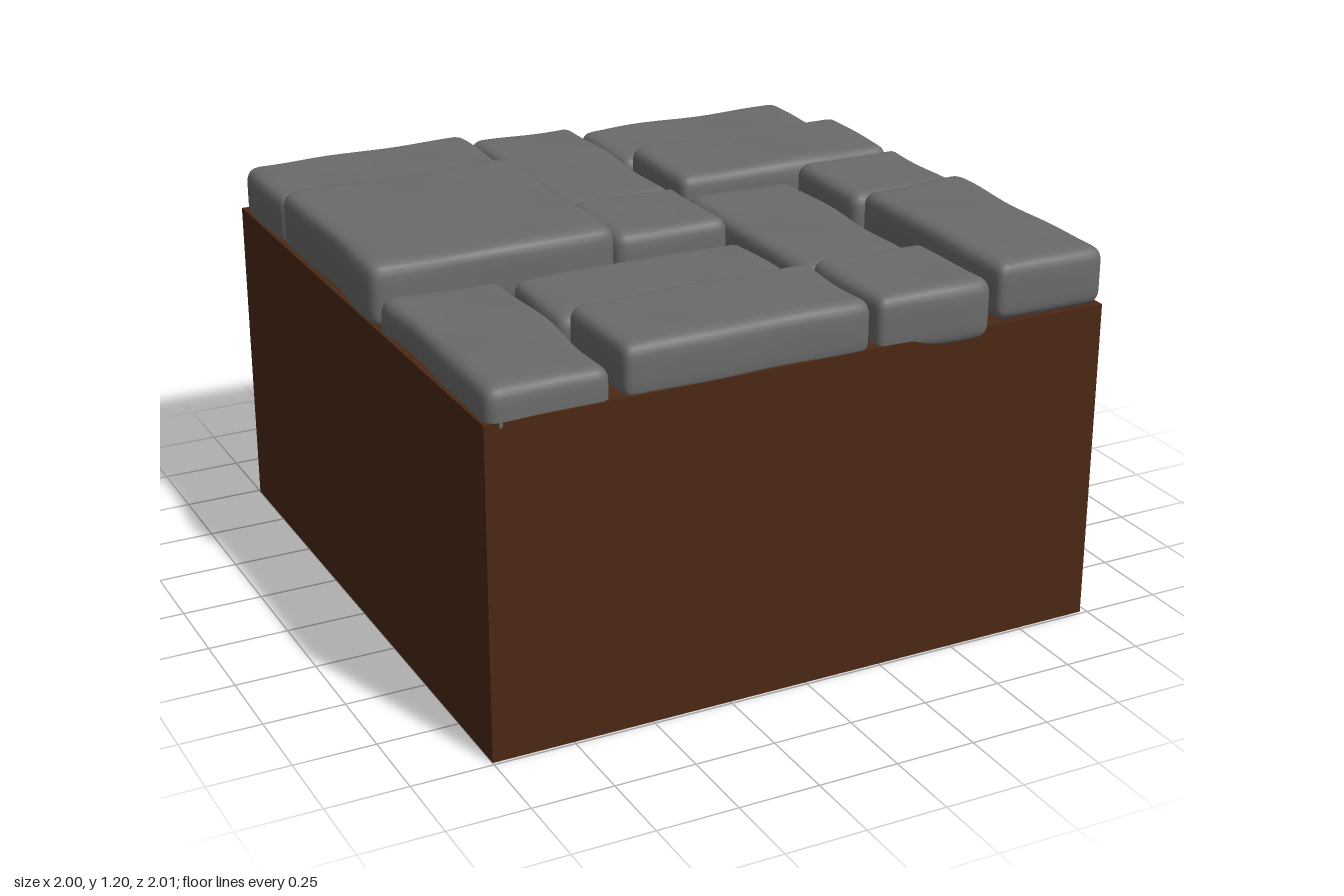
import * as THREE from 'three';
import { mergeVertices } from 'three/addons/utils/BufferGeometryUtils.js';

// Paving layout: [x0, x1, z0, z1, bottom, top]
const STONES = [
  [-0.99, -0.21, -1.00, -0.61, 0.98, 1.165],
  [-0.20, 0.19, -1.00, -0.21, 0.97, 1.14],
  [0.20, 0.99, -0.99, -0.61, 0.95, 1.12],
  [-1.00, -0.21, -0.60, 0.19, 1.00, 1.20],
  [0.21, 1.00, -0.60, -0.21, 0.99, 1.17],
  [-0.21, 0.18, -0.20, 0.18, 0.99, 1.165],
  [0.20, 0.59, -0.19, 0.59, 0.95, 1.125],
  [0.61, 1.00, -0.20, 0.19, 0.98, 1.17],
  [-0.99, -0.61, 0.21, 0.99, 0.95, 1.12],
  [-0.59, 0.19, 0.21, 0.59, 0.94, 1.11],
  [-0.59, 0.20, 0.61, 0.99, 0.99, 1.17],
  [0.20, 0.59, 0.61, 1.00, 0.98, 1.17],
  [0.61, 0.99, 0.20, 0.99, 1.01, 1.20],
];

// Soft-edged stone: a box grid pulled onto a rounded box, then gently worn
function stoneGeometry(w, h, d, seed) {
  const half = new THREE.Vector3(w / 2, h / 2, d / 2);
  const radius = 0.048;
  const inner = half.clone().subScalar(radius);
  let geo = new THREE.BoxGeometry(2, 2, 2, 24, 10, 24);
  geo.deleteAttribute('uv');
  geo.deleteAttribute('normal');
  geo = mergeVertices(geo);
  const pos = geo.attributes.position;
  const p = new THREE.Vector3();
  const core = new THREE.Vector3();
  const out = new THREE.Vector3();
  const dense = (t) => Math.sin(t * Math.PI / 2); // packs rows near the edges
  for (let i = 0; i < pos.count; i++) {
    p.fromBufferAttribute(pos, i);
    p.set(dense(p.x), dense(p.y), dense(p.z)).multiply(half);
    core.copy(p).clamp(inner.clone().negate(), inner);
    out.copy(p).sub(core).normalize();
    p.copy(core).addScaledVector(out, radius);
    // Wear only pushes inwards so the joints stay open
    const wave = Math.sin(p.x * 9 + seed * 2.1) * Math.sin(p.z * 8 + seed * 1.3)
      + 0.5 * Math.sin((p.x - p.z) * 15 + seed * 3.7);
    const edge = 1 - Math.abs(out.y) ** 4;
    p.addScaledVector(out, -(0.004 + 0.003 * edge) * (wave + 1.2));
    pos.setXYZ(i, p.x, p.y, p.z);
  }
  geo.computeVertexNormals();
  return geo;
}

export function createModel() {
  const model = new THREE.Group();
  model.name = 'pavedGroundBlock';
  const dirt = new THREE.MeshStandardMaterial({ color: 0x4a2814 });
  const rock = new THREE.MeshStandardMaterial({ color: 0x6b6b6b });

  // Earth block
  const ground = new THREE.Mesh(new THREE.BoxGeometry(1.98, 1.02, 1.98), dirt);
  ground.name = 'earthBlock';
  ground.position.set(-0.01, 0.51, 0);
  model.add(ground);

  // Paving stones
  const paving = new THREE.Group();
  paving.name = 'pavingStones';
  STONES.forEach(([x0, x1, z0, z1, y0, y1], i) => {
    const stone = new THREE.Mesh(stoneGeometry(x1 - x0 + 0.008, y1 - y0 + 0.004, z1 - z0 + 0.008, i + 1), rock);
    stone.name = `pavingStone${i + 1}`;
    stone.position.set((x0 + x1) / 2, (y0 + y1) / 2, (z0 + z1) / 2);
    paving.add(stone);
  });
  model.add(paving);
  return model;
}
